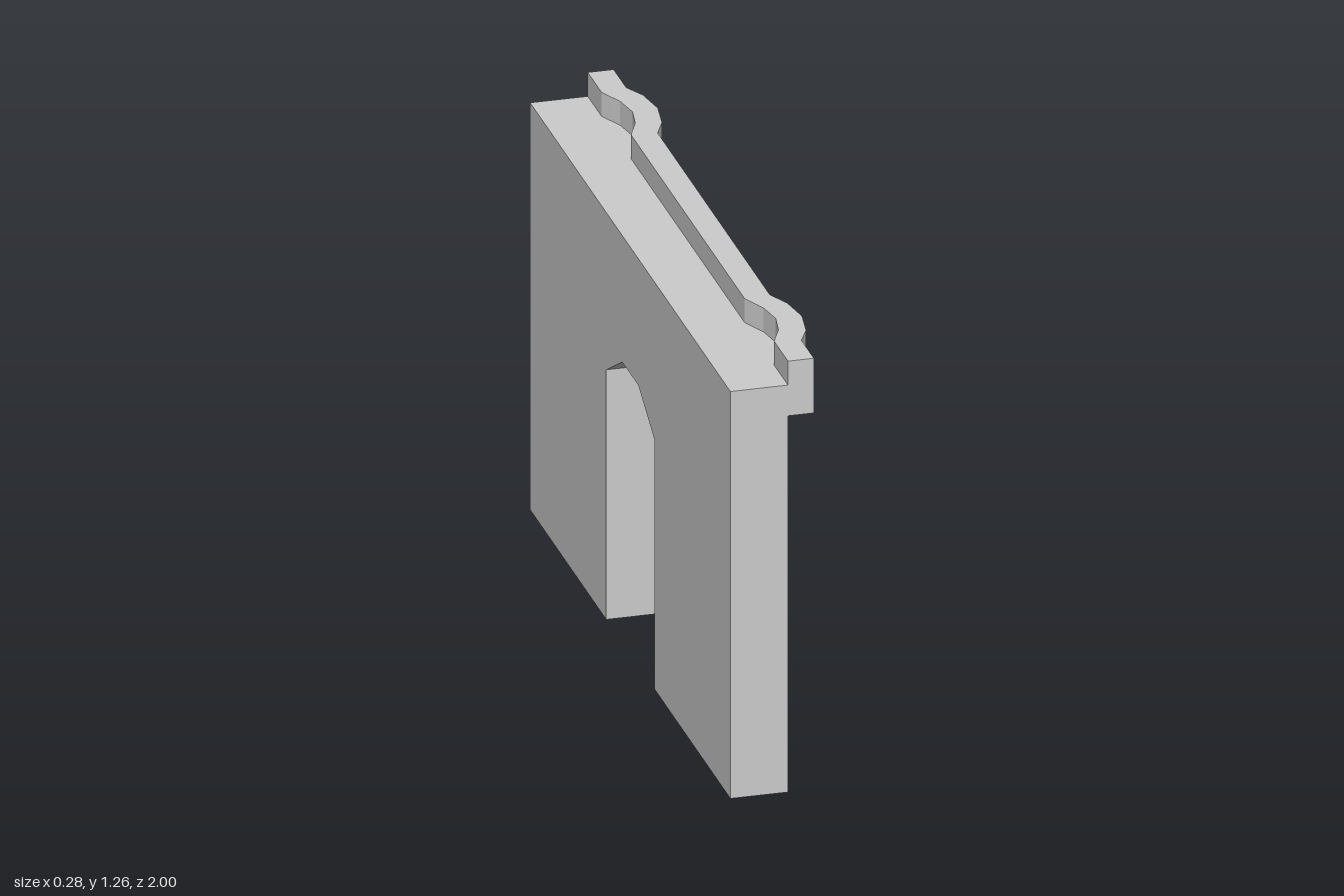
import * as THREE from 'three';

const mat = new THREE.MeshStandardMaterial({ color: 0xcccccc, flatShading: true, side: THREE.DoubleSide });

// Bulge of the buttress: [z, x] from the inner to the outer end
const inner = [[0.567, 0.02], [0.6, 0.034], [0.64, 0.052], [0.715, 0.065], [0.79, 0.052], [0.83, 0.034], [0.862, 0.02]];
const outer = [[0.56, 0.092], [0.625, 0.122], [0.72, 0.137], [0.815, 0.122], [0.875, 0.092]];

function add(parent, name, geometry, x = 0, y = 0, z = 0) {
  const mesh = new THREE.Mesh(geometry, mat);
  mesh.name = name;
  mesh.position.set(x, y, z);
  parent.add(mesh);
  return mesh;
}

// Leaves out the faces lying on the ground: the shell is open below
function openBelow(geometry) {
  const g = geometry.index ? geometry.toNonIndexed() : geometry;
  const p = g.attributes.position;
  const kept = [];
  for (let i = 0; i < p.count; i += 3) {
    if ([0, 1, 2].every((k) => Math.abs(p.getY(i + k)) < 1e-5)) continue;
    for (let k = 0; k < 3; k++) kept.push(p.getX(i + k), p.getY(i + k), p.getZ(i + k));
  }
  const out = new THREE.BufferGeometry();
  out.setAttribute('position', new THREE.Float32BufferAttribute(kept, 3));
  out.computeVertexNormals();
  return out;
}

const shapeOf = (pts) => new THREE.Shape(pts.map(([a, b]) => new THREE.Vector2(a, b)));

// Plan outline [z, x] raised from y0 to y1
function raise(pts, y0, y1) {
  const g = new THREE.ExtrudeGeometry(shapeOf(pts.map(([z, x]) => [x, -z])), { depth: y1 - y0, bevelEnabled: false });
  return g.rotateX(-Math.PI / 2).translate(0, y0, 0);
}

// Elevation outline [z, y] given depth from x0 to x1
function deepen(shape, x0, x1) {
  const g = new THREE.ExtrudeGeometry(shape, { depth: x1 - x0, bevelEnabled: false });
  return g.rotateY(Math.PI / 2).translate(x0, 0, 0);
}

const mirrored = (pts) => pts.map(([z, x]) => [-z, x]).reverse();

export function createModel() {
  const model = new THREE.Group();
  model.name = 'gateWall';

  // Wall halves with buttress bulges
  const half = [[0.24, -0.14], [0.24, 0.02], ...inner, [1, 0.02], [1, -0.14]];
  add(model, 'leftWall', openBelow(raise(half, 0, 1.19)));
  add(model, 'rightWall', openBelow(raise(mirrored(half), 0, 1.19)));

  // Wall above the chamfered doorway
  const lintel = [[-0.24, 0.73], [-0.08, 0.82], [0.08, 0.82], [0.24, 0.73], [0.24, 1.19], [-0.24, 1.19]];
  add(model, 'wallAboveDoor', deepen(shapeOf(lintel), -0.14, 0.02));

  // Parapet following the wall front
  const front = [[-1, 0.092], ...mirrored(outer), ...outer, [1, 0.092]];
  const back = [[-1, 0.02], ...mirrored(inner), ...inner, [1, 0.02]];
  add(model, 'parapet', raise([...front, ...back.reverse()], 1.1, 1.26));

  // Door frame
  const frame = [[-0.24, 0], [-0.24, 0.73], [-0.08, 0.82], [0.08, 0.82], [0.24, 0.73], [0.24, 0],
    [0.17, 0], [0.17, 0.69], [0.06, 0.755], [-0.06, 0.755], [-0.17, 0.69], [-0.17, 0]];
  add(model, 'doorFrame', openBelow(deepen(shapeOf(frame), 0, 0.078)));

  // Door slab standing off the frame
  add(model, 'door', new THREE.BoxGeometry(0.028, 0.785, 0.42), 0.113, 0.4375, 0);

  for (const side of [1, -1]) {
    // Door hangers
    const hanger = new THREE.CylinderGeometry(0.017, 0.017, 0.03, 12, 1, true).rotateX(Math.PI / 2);
    add(model, 'doorHanger', hanger, 0.093, 0.8, side * 0.19);

    // Small framed panels beside the door
    const rim = shapeOf([[-0.028, -0.036], [0.028, -0.036], [0.028, 0.036], [-0.028, 0.036]]);
    rim.holes.push(new THREE.Path([[-0.016, -0.024], [-0.016, 0.024], [0.016, 0.024], [0.016, -0.024]]
      .map(([a, b]) => new THREE.Vector2(a, b))));
    const panel = new THREE.Group();
    panel.name = 'wallPanel';
    panel.position.set(0, 0.905, side * 0.27);
    add(panel, 'panelRim', deepen(rim, 0.015, 0.04));
    add(panel, 'panelInset', new THREE.BoxGeometry(0.01, 0.048, 0.032), 0.02, 0, 0);
    model.add(panel);
  }
  return model;
}
